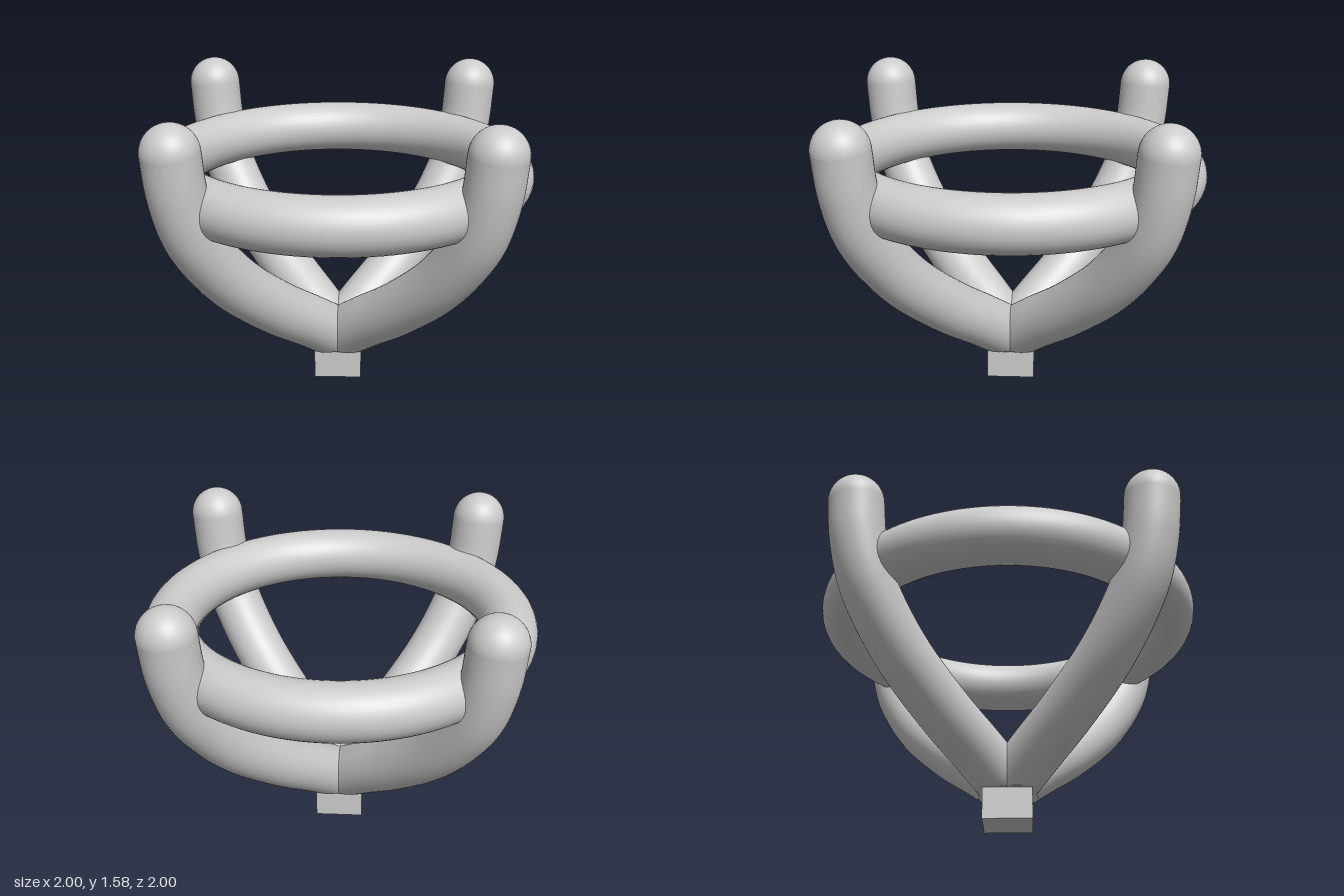
import * as THREE from 'three';
import { toCreasedNormals } from 'three/addons/utils/BufferGeometryUtils.js';

const TUBE = 0.14;
const BASE_TOP = 0.16;

export function createModel() {
  const group = new THREE.Group();
  const material = new THREE.MeshStandardMaterial({ color: 0xcccccc });
  const add = (name, geometry, parent = group) => {
    const mesh = new THREE.Mesh(geometry, material);
    mesh.name = name;
    parent.add(mesh);
    return mesh;
  };

  // Square peg under the prongs
  add('basePeg', new THREE.BoxGeometry(0.25, BASE_TOP + 0.04, 0.25)).position.y = (BASE_TOP + 0.04) / 2;

  // Horizontal ring held by the prongs
  const ring = add('ring', new THREE.TorusGeometry(0.86, TUBE, 40, 128));
  ring.rotation.x = Math.PI / 2;
  ring.position.y = 1.15;

  // Prong centre line: (sideways offset, height), running along the diagonal
  const path = new THREE.CatmullRomCurve3(
    [[0, 0.205], [0.15, 0.35], [0.3, 0.49], [0.485, 0.7], [0.6, 0.885],
      [0.668, 1.04], [0.712, 1.24], [0.73, 1.44]]
      .map(([x, y]) => new THREE.Vector3(x * Math.SQRT2, y, 0)),
    false, 'centripetal');
  const tube = new THREE.TubeGeometry(path, 120, TUBE, 40, false);

  // Flatten the underside where the prongs sit on the peg
  const p = tube.attributes.position;
  for (let i = 0; i < p.count; i++) p.setY(i, Math.max(p.getY(i), BASE_TOP));
  const prongGeometry = toCreasedNormals(tube, 0.5);
  const tipGeometry = new THREE.SphereGeometry(TUBE, 40, 24);
  const tip = path.getPoint(1);

  // Four prongs with rounded tips
  ['backLeft', 'backRight', 'frontRight', 'frontLeft'].forEach((corner, i) => {
    const prong = new THREE.Group();
    prong.name = corner + 'Prong';
    add('prongArm', prongGeometry, prong);
    add('prongTip', tipGeometry, prong).position.copy(tip);
    prong.rotation.y = Math.PI / 4 + i * Math.PI / 2;
    group.add(prong);
  });

  return group;
}
